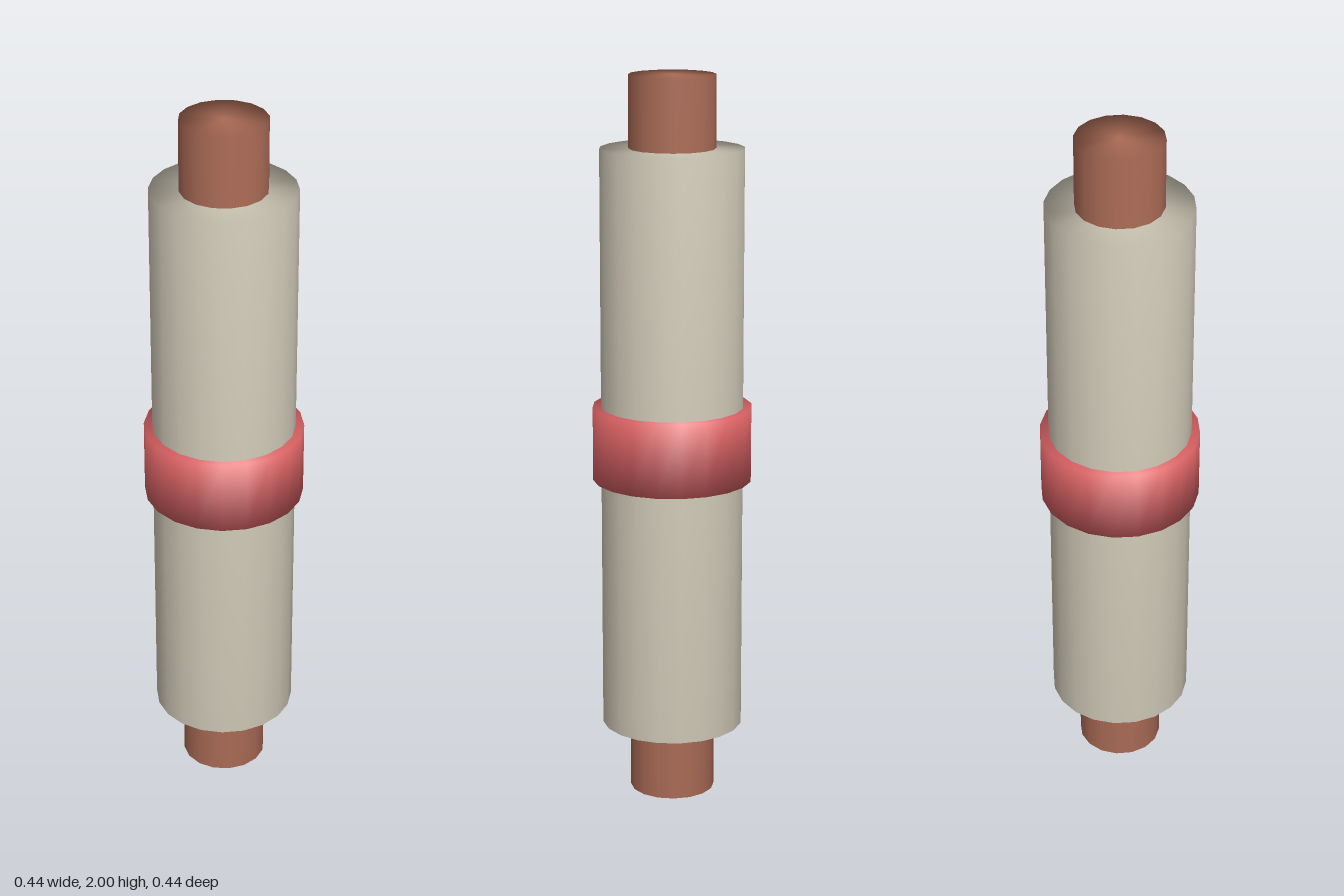
import * as THREE from 'three';
import { mergeVertices } from 'three/addons/utils/BufferGeometryUtils.js';

const material = (name, color) => {
  const m = new THREE.MeshStandardMaterial({ color });
  m.name = name;
  return m;
};

// Capped cylinder with normals smoothed over its rims
function softCylinder(name, radius, bottom, top, sides, mat) {
  let geometry = new THREE.CylinderGeometry(radius, radius, top - bottom, sides);
  geometry.deleteAttribute('uv');
  geometry.deleteAttribute('normal');
  geometry = mergeVertices(geometry);
  geometry.computeVertexNormals();
  const mesh = new THREE.Mesh(geometry, mat);
  mesh.name = name;
  mesh.position.y = (bottom + top) / 2;
  return mesh;
}

export function createModel() {
  const wood = material('wood brown', 0xac6c56);
  const paper = material('parchment', 0xd4cdbb);
  const ribbon = material('ribbon red', 0xdb6264);

  const scroll = new THREE.Group();
  scroll.name = 'rolledScroll';
  scroll.add(
    softCylinder('rod', 0.117, 0, 2, 16, wood), // sticks out at both ends
    softCylinder('paperRoll', 0.195, 0.195, 1.805, 20, paper),
    softCylinder('ribbonBand', 0.218, 0.898, 1.102, 20, ribbon)
  );
  return scroll;
}
